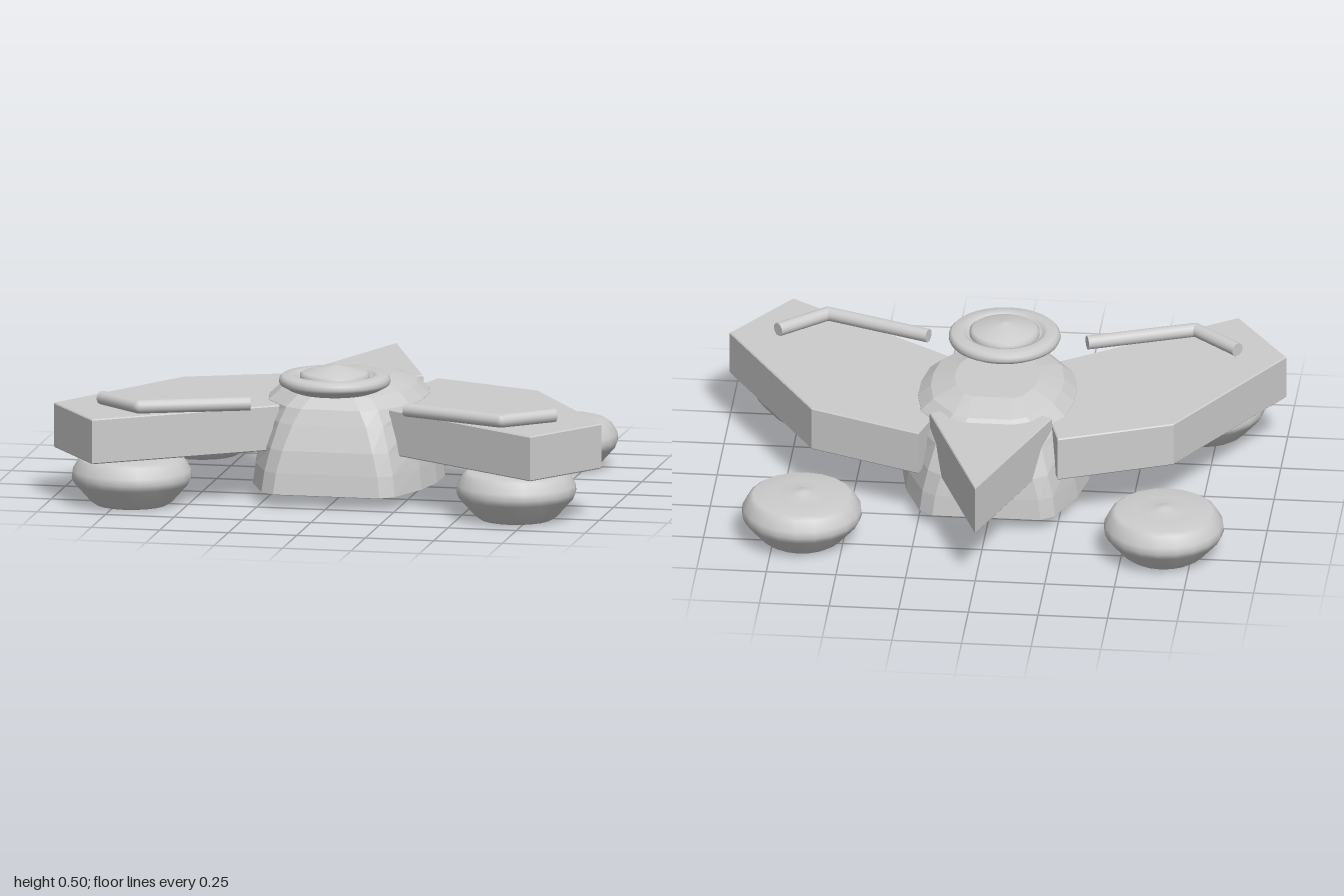
import * as THREE from 'three';

const grey = new THREE.MeshStandardMaterial({ color: 0xcccccc });
grey.name = 'hull grey';

function add(parent, name, geometry, x = 0, y = 0, z = 0) {
  const mesh = new THREE.Mesh(geometry, grey);
  mesh.name = name;
  mesh.position.set(x, y, z);
  parent.add(mesh);
  return mesh;
}

// Vertical slab with a hair-thin bevel, from an outline of [x, z] points
function slab(points, y0, y1) {
  const shape = new THREE.Shape(points.map(([x, z]) => new THREE.Vector2(x, -z)));
  const b = 0.004;
  const g = new THREE.ExtrudeGeometry(shape, {
    depth: y1 - y0 - 2 * b, bevelThickness: b, bevelSize: b, bevelOffset: -b, bevelSegments: 1,
  });
  g.rotateX(-Math.PI / 2);
  g.translate(0, y0 + b, 0);
  return g;
}

// Faceted hull: an outline that narrows and rounds off through rising levels, capped at both ends
function hullGeometry() {
  // y, half width, front z, back z, share of the width kept by the blunt ends
  const levels = [
    [0.045, 0.335, 0.485, -0.335, 0.58], [0.12, 0.325, 0.475, -0.33, 0.57], [0.2, 0.31, 0.46, -0.32, 0.53],
    [0.29, 0.293, 0.43, -0.285, 0.46], [0.345, 0.28, 0.41, -0.26, 0.38], [0.385, 0.235, 0.37, -0.225, 0.33],
    [0.415, 0.15, 0.24, -0.11, 0.5],
  ];
  const rings = levels.map(([y, w, f, b, e]) => {
    const m = e + (1 - e) * 0.35;
    const half = [[e, 1], [m, 0.955], [0.92, 0.76], [1, 0.58], [1, 0.42], [0.92, 0.24], [m, 0.045], [e, 0]];
    return [...half, ...half.map(([x, z]) => [-x, z]).reverse()].map(([x, z]) => [x * w, y, b + z * (f - b)]);
  });
  const pos = [];
  const tri = (...corners) => corners.forEach((c) => pos.push(...c));
  const n = rings[0].length;
  const last = rings.length - 1;
  const centre = ([y, , f, b]) => [0, y, (f + b) / 2];
  for (let i = 0; i < n; i++) {
    const j = (i + 1) % n;
    for (let k = 0; k < last; k++) {
      tri(rings[k][i], rings[k + 1][j], rings[k + 1][i]);
      tri(rings[k][i], rings[k][j], rings[k + 1][j]);
    }
    tri(centre(levels[last]), rings[last][i], rings[last][j]);
    tri(centre(levels[0]), rings[0][j], rings[0][i]);
  }
  const g = new THREE.BufferGeometry();
  g.setAttribute('position', new THREE.Float32BufferAttribute(pos, 3));
  g.computeVertexNormals();
  return g;
}

function lathe(profile, segments) {
  return new THREE.LatheGeometry(profile.map(([r, y]) => new THREE.Vector2(r, y)), segments);
}

// Closed round bar between two points
function bar(parent, name, from, to, radius) {
  const a = new THREE.Vector3(...from);
  const b = new THREE.Vector3(...to);
  const d = b.clone().sub(a);
  const mesh = add(parent, name, new THREE.CylinderGeometry(radius, radius, d.length(), 16));
  mesh.position.copy(a).add(b).multiplyScalar(0.5);
  mesh.quaternion.setFromUnitVectors(new THREE.Vector3(0, 1, 0), d.normalize());
}

export function createModel() {
  const model = new THREE.Group();
  model.name = 'hovercraft';

  add(model, 'hull', hullGeometry());
  add(model, 'tailFin', slab([[0, -0.757], [-0.22, -0.17], [0, -0.05], [0.22, -0.17]], 0.19, 0.372));

  // Turret saucer with a raised cap set in its rim
  const turret = new THREE.Group();
  turret.name = 'turret';
  turret.position.z = 0.33;
  model.add(turret);
  add(turret, 'turretRing', lathe([[0, 0.4], [0.14, 0.4], [0.165, 0.409], [0.195, 0.426], [0.2, 0.436],
    [0.198, 0.45], [0.188, 0.46], [0.155, 0.464], [0.138, 0.459], [0.132, 0.447], [0, 0.447]], 40));
  add(turret, 'turretCap', lathe([[0.125, 0.447], [0.125, 0.462], [0.115, 0.47], [0.06, 0.486], [0, 0.497]], 40));

  // Hover pod profile, hollowed underneath
  const pod = lathe([[0, 0.03], [0.04, 0.03], [0.058, 0.02], [0.07, 0.004], [0.08, 0], [0.13, 0], [0.148, 0.012],
    [0.207, 0.078], [0.216, 0.1], [0.213, 0.124], [0.192, 0.16], [0.175, 0.172], [0.1, 0.176],
    [0.038, 0.178], [0.03, 0.186], [0, 0.189]], 20);

  for (const s of [1, -1]) {
    const side = s > 0 ? 'left' : 'right';
    const wing = [[0.25, -0.28], [0.65, -0.12], [1, 0.455], [0.8, 0.75], [0.2, 0.345], [0.2, -0.1]];
    add(model, side + 'Wing', slab(wing.map(([x, z]) => [x * s, z]), 0.18, 0.343));

    // Bent rail lying on the wing
    const rail = new THREE.Group();
    rail.name = side + 'Rail';
    model.add(rail);
    const y = 0.366;
    const bend = [0.66 * s, y, 0.592];
    bar(rail, 'innerRail', [0.285 * s, y, 0.452], bend, 0.025);
    bar(rail, 'outerRail', bend, [0.825 * s, y, 0.448], 0.025);
    add(rail, 'railElbow', new THREE.SphereGeometry(0.025, 16, 10), ...bend);

    add(model, side + 'FrontPod', pod, 0.702 * s, 0, 0.52);
    add(model, side + 'RearPod', pod, 0.65 * s, 0, -0.465);
  }
  return model;
}
